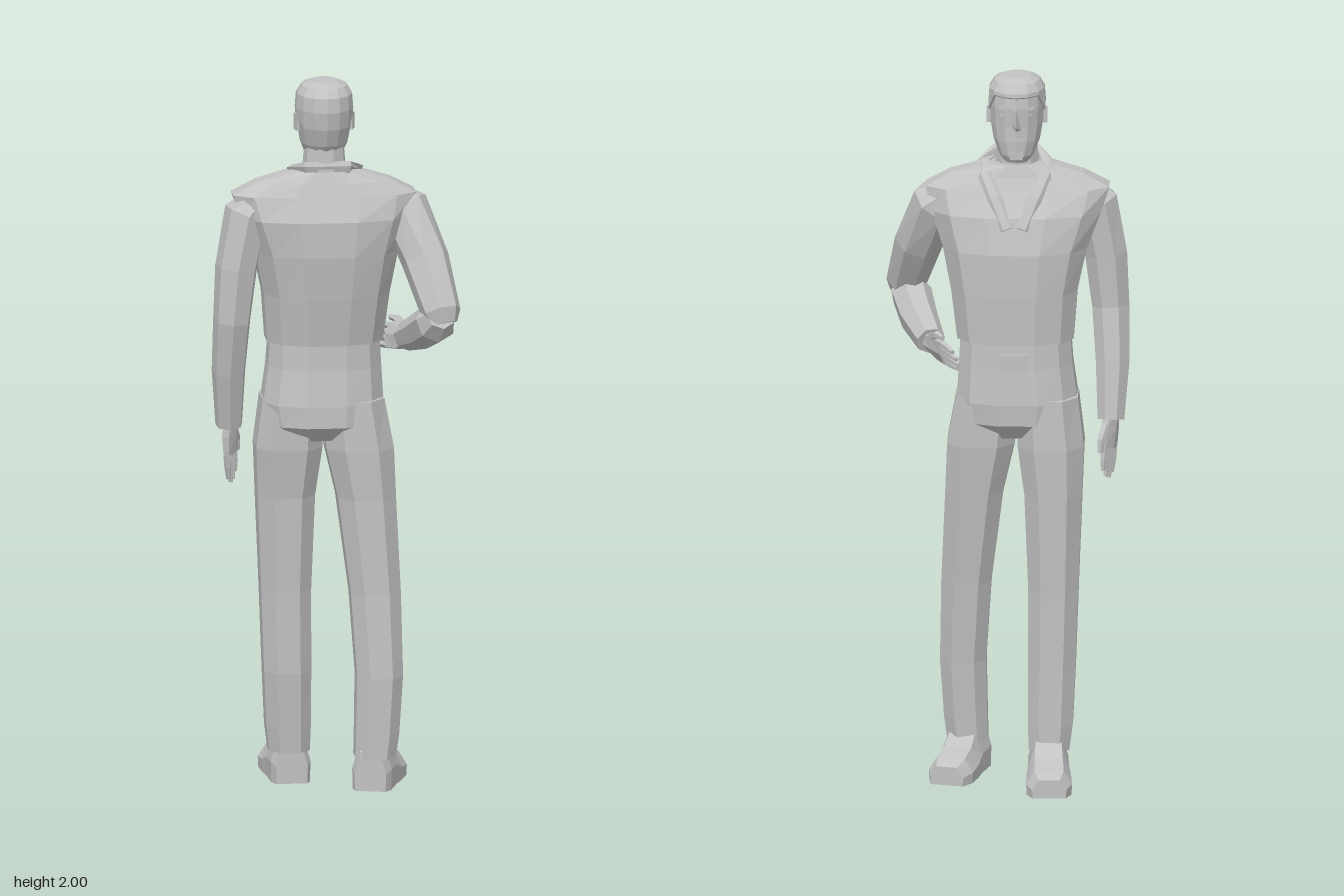
import * as THREE from 'three';

const V = (x, y, z) => new THREE.Vector3(x, y, z);
const YAW = THREE.MathUtils.degToRad(132); // the figure stands turned from the axes
const FWD = V(Math.sin(YAW), 0, Math.cos(YAW));
const RIGHT = V(-FWD.z, 0, FWD.x);
const clay = new THREE.MeshStandardMaterial({ color: 0xc2c2c2, flatShading: true });
clay.name = 'grey';

function mesh(geometry, name) {
  const m = new THREE.Mesh(geometry, clay);
  m.name = name;
  return m;
}

// Closed skin over equal-sized rings of points, capped at both ends
function skin(rings, name) {
  const n = rings[0].length, pos = [];
  const tris = [];
  for (let i = 0; i < rings.length - 1; i++)
    for (let j = 0; j < n; j++) {
      const k = (j + 1) % n, a = rings[i], b = rings[i + 1];
      tris.push([a[j], a[k], b[k]], [a[j], b[k], b[j]]);
    }
  const mid = r => r.reduce((s, p) => s.add(p), V(0, 0, 0)).divideScalar(n);
  const first = rings[0], last = rings[rings.length - 1], c0 = mid(first), c1 = mid(last);
  for (let j = 0; j < n; j++) {
    const k = (j + 1) % n;
    tris.push([c0, first[k], first[j]], [c1, last[j], last[k]]);
  }
  // Turn all faces outward and drop collapsed ones
  let volume = 0;
  const normal = ([a, b, c]) => b.clone().sub(a).cross(c.clone().sub(a));
  for (const t of tris) volume += normal(t).dot(t[0].clone().sub(c0));
  for (const t of tris) {
    if (normal(t).length() < 1e-9) continue;
    for (const p of volume > 0 ? t : [t[0], t[2], t[1]]) pos.push(p.x, p.y, p.z);
  }
  const g = new THREE.BufferGeometry();
  g.setAttribute('position', new THREE.Float32BufferAttribute(pos, 3));
  g.computeVertexNormals();
  return mesh(g, name);
}

// Stacked horizontal rings: [x, y, z, half width, half depth]
function stack(rows, name, n = 12, power = 0.8) {
  const bend = c => Math.sign(c) * Math.pow(Math.abs(c), power);
  return skin(rows.map(([x, y, z, a, b]) => Array.from({ length: n }, (_, i) => {
    const t = (i + 0.5) / n * Math.PI * 2;
    return V(x, y, z).addScaledVector(RIGHT, a * bend(Math.cos(t))).addScaledVector(FWD, b * bend(Math.sin(t)));
  })), name);
}

// Tube along a bent path: [x, y, z, half size across, other half size]
function limb(rows, across, name, n = 7) {
  const pts = rows.map(r => V(r[0], r[1], r[2]));
  return skin(rows.map((r, i) => {
    const t = pts[Math.min(i + 1, pts.length - 1)].clone().sub(pts[Math.max(i - 1, 0)]).normalize();
    const u = across.clone().addScaledVector(t, -across.dot(t)).normalize(), v = t.clone().cross(u);
    return Array.from({ length: n }, (_, j) => {
      const w = (j + 0.5) / n * Math.PI * 2;
      return pts[i].clone().addScaledVector(u, r[3] * Math.cos(w)).addScaledVector(v, (r[4] ?? r[3]) * Math.sin(w));
    });
  }), name);
}

// Palm, four fingers and a thumb
function hand(wrist, dir, across, name) {
  const g = new THREE.Group();
  g.name = name;
  dir.normalize();
  across.addScaledVector(dir, -across.dot(dir)).normalize();
  const at = (s, w) => wrist.clone().addScaledVector(dir, s).addScaledVector(across, w).toArray();
  g.add(limb([[...at(-0.02, 0), 0.028, 0.022], [...at(0.03, 0), 0.04, 0.02], [...at(0.085, 0), 0.042, 0.015]], across, 'palm', 6));
  for (let i = 0; i < 4; i++) {
    const w = (i - 1.5) * 0.018, len = 0.15 + 0.02 * Math.cos(i - 1.3);
    g.add(limb([[...at(0.075, w), 0.011], [...at(0.12, w), 0.01], [...at(len, w * 0.9), 0.007]], across, 'finger', 5));
  }
  g.add(limb([[...at(0.02, 0.025), 0.014], [...at(0.06, 0.048), 0.012], [...at(0.095, 0.05), 0.008]], across, 'thumb', 5));
  return g;
}

// Shoe from heel to toe: [distance, half width, height]
function shoe(heel, toe, name) {
  const dir = toe.clone().sub(heel).normalize(), side = V(-dir.z, 0, dir.x), L = heel.distanceTo(toe);
  const rows = [[0, 0.043, 0.11], [0.1, 0.054, 0.13], [0.42, 0.055, 0.12], [0.6, 0.06, 0.085], [0.85, 0.062, 0.068], [1, 0.046, 0.052]];
  const section = [[-1, 0], [-1.03, 0.45], [-0.65, 1], [0.65, 1], [1.03, 0.45], [1, 0]];
  return skin(rows.map(([s, w, h]) => section.map(([x, y]) =>
    heel.clone().addScaledVector(dir, s * L).addScaledVector(side, x * w).setY(y * h))), name);
}

// Skull outline: [y, half width, back, front]
const SKULL = [[1.765, 0.034, 0.0, 0.08], [1.785, 0.05, -0.045, 0.093], [1.825, 0.066, -0.075, 0.095], [1.87, 0.074, -0.092, 0.094],
  [1.92, 0.076, -0.1, 0.097], [1.96, 0.073, -0.096, 0.092], [1.983, 0.06, -0.078, 0.075], [1.994, 0.036, -0.045, 0.045]];
function skullPoint(y, t, grow = 1) {
  let i = 0;
  while (i < SKULL.length - 2 && SKULL[i + 1][0] < y) i++;
  const p = SKULL[i], q = SKULL[i + 1], k = (y - p[0]) / (q[0] - p[0]);
  const [w, b, f] = [1, 2, 3].map(c => p[c] + (q[c] - p[c]) * k);
  return V(w * Math.cos(t) * grow, y, (b + f) / 2 + (f - b) / 2 * Math.sin(t) * grow);
}

function createHead() {
  const g = new THREE.Group(), n = 14;
  g.name = 'head';
  const loop = f => Array.from({ length: n }, (_, j) => f((j + 0.5) / n * Math.PI * 2));
  g.add(skin(SKULL.map(r => loop(t => skullPoint(r[0], t))), 'face'));
  // Hair: low at the nape, high at the brow
  g.add(skin(SKULL.slice(2).map(r => loop(t => {
    const s = Math.sin(t), rim = s > 0.3 ? 1.95 : s > -0.3 ? 1.9 : 1.825;
    const p = skullPoint(Math.max(rim, r[0]), t, 1.07);
    p.y += 0.006;
    return p;
  })), 'hair'));
  const neck = mesh(new THREE.CylinderGeometry(0.055, 0.066, 0.13, 9), 'neck');
  neck.position.set(0, 1.765, -0.01);
  g.add(neck);
  g.add(skin([[1.915, 0.007, 0.1], [1.875, 0.013, 0.117], [1.862, 0.016, 0.11]].map(([y, w, z]) =>
    [V(-w, y, 0.085), V(0, y, z), V(w, y, 0.085)]), 'nose'));
  const block = (w, h, d, x, y, z, name, ry = 0) => {
    const m = mesh(new THREE.BoxGeometry(w, h, d), name);
    m.position.set(x, y, z);
    m.rotation.y = ry;
    g.add(m);
  };
  for (const s of [-1, 1]) {
    block(0.036, 0.008, 0.012, s * 0.031, 1.921, 0.083, 'brow', s * 0.4);
    block(0.024, 0.007, 0.008, s * 0.032, 1.903, 0.081, 'eye', s * 0.4);
    block(0.012, 0.046, 0.026, s * 0.075, 1.885, -0.01, 'ear', s * 0.3);
  }
  block(0.04, 0.006, 0.01, 0, 1.835, 0.091, 'mouth');
  block(0.036, 0.02, 0.016, 0, 1.788, 0.085, 'chin');
  g.rotation.y = YAW;
  g.position.set(-0.018, 0, -0.043);
  return g;
}

export function createModel() {
  const model = new THREE.Group();
  model.name = 'standingMan';
  model.add(createHead());

  // Jacket body with broad shoulders and a short hem
  model.add(stack([[0.01, 1.262, -0.065, 0.166, 0.128], [0.005, 1.4, -0.056, 0.18, 0.143], [-0.003, 1.52, -0.051, 0.205, 0.15],
    [-0.015, 1.62, -0.045, 0.242, 0.138], [-0.022, 1.685, -0.042, 0.262, 0.1], [-0.024, 1.722, -0.04, 0.19, 0.082],
    [-0.022, 1.752, -0.04, 0.085, 0.07]], 'jacket'));

  // Collar running down into the open lapels
  const half = [[0.02, 1.59, 0.136], [0.055, 1.67, 0.1], [0.082, 1.725, 0.058], [0.086, 1.748, -0.005], [0.06, 1.762, -0.065]];
  const path = [...half.map(p => [-p[0], p[1], p[2]]), ...half.reverse()].map(p => [...p, 0.012, 0.021]);
  const trim = new THREE.Group();
  trim.name = 'jacketTrim';
  trim.add(limb(path, V(0, 0.3, 1), 'collar', 6));
  const buckle = mesh(new THREE.BoxGeometry(0.075, 0.05, 0.02), 'beltBuckle');
  buckle.position.set(0, 1.21, 0.143);
  trim.add(buckle);
  trim.rotation.y = YAW;
  trim.position.set(-0.01, 0, -0.045);
  model.add(trim);

  // Trousers
  model.add(stack([[0.008, 0.985, -0.066, 0.11, 0.085], [0.004, 1.03, -0.066, 0.16, 0.13], [0.006, 1.09, -0.068, 0.172, 0.132],
    [0.01, 1.19, -0.066, 0.162, 0.12], [0.01, 1.3, -0.065, 0.155, 0.115]], 'hips'));
  model.add(stack([[0.045, 0.09, 0.085, 0.06, 0.072], [0.05, 0.16, 0.088, 0.064, 0.075], [0.058, 0.32, 0.09, 0.068, 0.083],
    [0.068, 0.55, 0.068, 0.074, 0.086], [0.07, 0.82, 0.035, 0.086, 0.104], [0.063, 0.96, 0.016, 0.1, 0.117],
    [0.056, 1.1, 0.0, 0.09, 0.117]], 'rightLeg', 8));
  model.add(stack([[-0.025, 0.09, -0.16, 0.06, 0.07], [-0.03, 0.16, -0.16, 0.066, 0.074], [-0.04, 0.32, -0.156, 0.07, 0.082],
    [-0.042, 0.55, -0.16, 0.074, 0.086], [-0.042, 0.82, -0.16, 0.085, 0.102], [-0.044, 0.96, -0.149, 0.098, 0.116],
    [-0.042, 1.1, -0.138, 0.09, 0.116]], 'leftLeg', 8));
  model.add(shoe(V(-0.012, 0, 0.112), V(0.228, 0, -0.008), 'rightShoe'));
  model.add(shoe(V(-0.06, 0, -0.122), V(0.135, 0, -0.312), 'leftShoe'));

  // Right arm bent with the hand before the waist
  model.add(limb([[0.09, 1.675, 0.06, 0.05], [0.13, 1.63, 0.125, 0.072], [0.115, 1.5, 0.208, 0.068],
    [0.078, 1.365, 0.29, 0.056], [0.075, 1.335, 0.3, 0.04]], FWD, 'rightUpperSleeve'));
  model.add(limb([[0.062, 1.36, 0.3, 0.04], [0.08, 1.335, 0.27, 0.058], [0.14, 1.293, 0.185, 0.054],
    [0.195, 1.252, 0.085, 0.041]], V(0, 1, 0), 'rightForearmSleeve'));
  model.add(hand(V(0.198, 1.248, 0.08), V(0.34, -0.1, -0.92), V(0.3, 0.95, 0), 'rightHand'));

  // Left arm hanging
  model.add(limb([[-0.14, 1.685, -0.15, 0.04], [-0.183, 1.63, -0.188, 0.064], [-0.208, 1.48, -0.204, 0.06],
    [-0.217, 1.33, -0.213, 0.053], [-0.198, 1.18, -0.238, 0.048], [-0.17, 1.02, -0.258, 0.038]], FWD, 'leftSleeve'));
  model.add(hand(V(-0.17, 1.025, -0.256), V(0.12, -0.95, -0.04), FWD.clone().addScaledVector(RIGHT, 0.5), 'leftHand'));
  return model;
}
